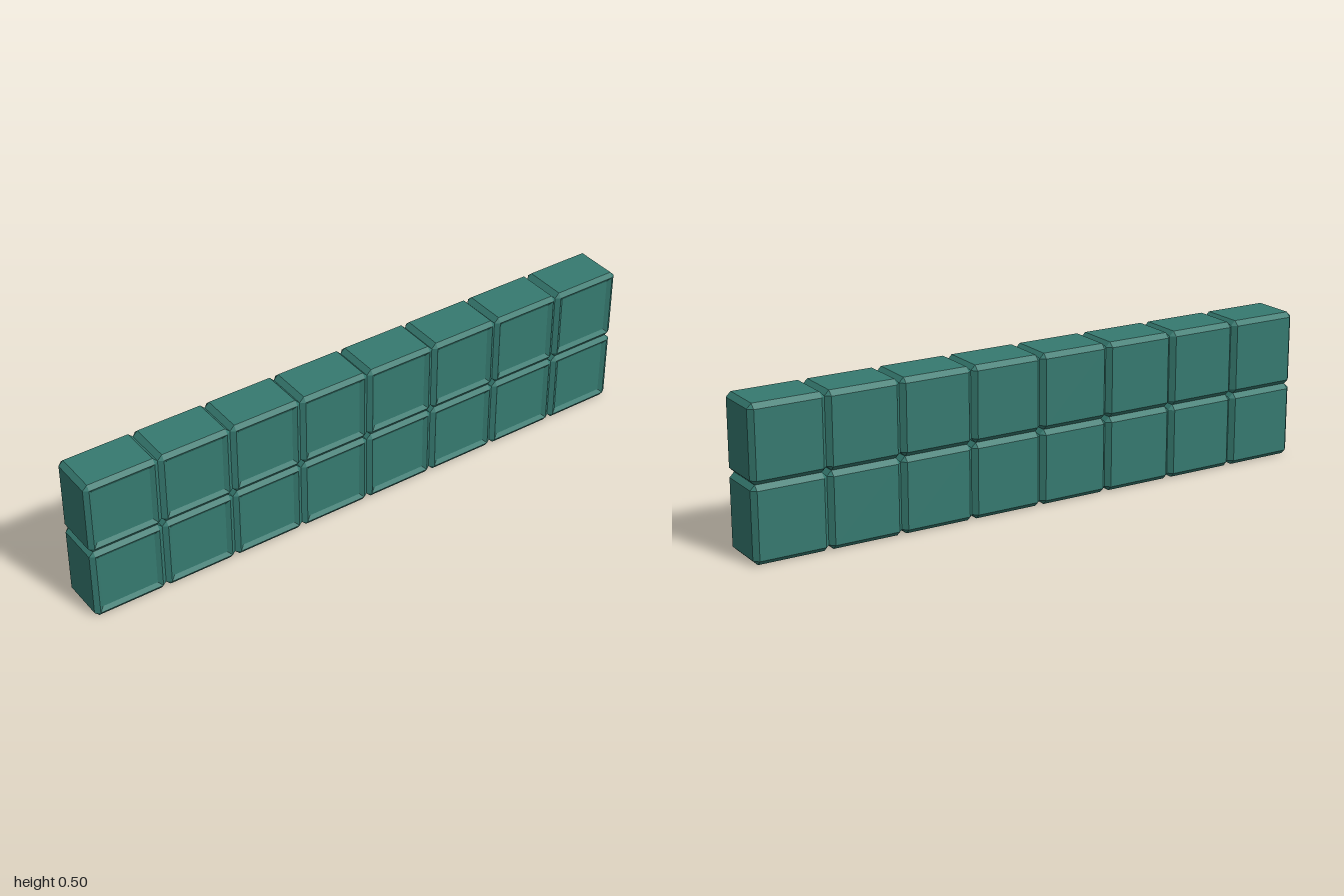
import * as THREE from 'three';

const SIZE = 0.25, COLS = 8, ROWS = 2;

// Octagonal ring: half extent a, straight half length b (a === b gives a square)
function ring(a, b, z) {
  return [[a, -b], [a, b], [b, a], [-b, a], [-a, b], [-a, -b], [-b, -a], [b, -a]]
    .map(([x, y]) => new THREE.Vector3(x, y, z));
}

// Chamfered block with a shallow sunken panel on its front
function blockGeometry() {
  const half = SIZE / 2, inner = half - 0.0156, panel = inner - 0.014;
  const rings = [
    ring(inner, inner, -0.085),
    ring(half, inner, -0.069),
    ring(half, inner, 0.074),
    ring(inner, inner, 0.085),
    ring(panel, panel, 0.076),
  ];
  const pos = [];
  const tri = (a, b, c) => {
    if (a.equals(b) || b.equals(c) || a.equals(c)) return;
    for (const p of [a, b, c]) pos.push(p.x, p.y, p.z);
  };
  for (let i = 0; i < rings.length - 1; i++) {
    const lo = rings[i], hi = rings[i + 1];
    for (let j = 0; j < 8; j++) {
      const k = (j + 1) % 8;
      tri(lo[j], lo[k], hi[k]);
      tri(lo[j], hi[k], hi[j]);
    }
  }
  // Back and front caps
  const back = rings[0], front = rings[rings.length - 1];
  for (let j = 1; j < 7; j++) {
    tri(back[0], back[j + 1], back[j]);
    tri(front[0], front[j], front[j + 1]);
  }
  const geo = new THREE.BufferGeometry();
  geo.setAttribute('position', new THREE.Float32BufferAttribute(pos, 3));
  geo.computeVertexNormals();
  return geo;
}

export function createModel() {
  const model = new THREE.Group();
  model.name = 'blockWall';
  const geo = blockGeometry();
  const mat = new THREE.MeshStandardMaterial({ color: 0x367a70, flatShading: true });

  // Rows of identical blocks
  for (let r = 0; r < ROWS; r++) {
    const row = new THREE.Group();
    row.name = r === 0 ? 'lowerRow' : 'upperRow';
    row.position.y = (r + 0.5) * SIZE;
    for (let c = 0; c < COLS; c++) {
      const block = new THREE.Mesh(geo, mat);
      block.name = 'block';
      block.position.x = (c - (COLS - 1) / 2) * SIZE;
      row.add(block);
    }
    model.add(row);
  }
  return model;
}
